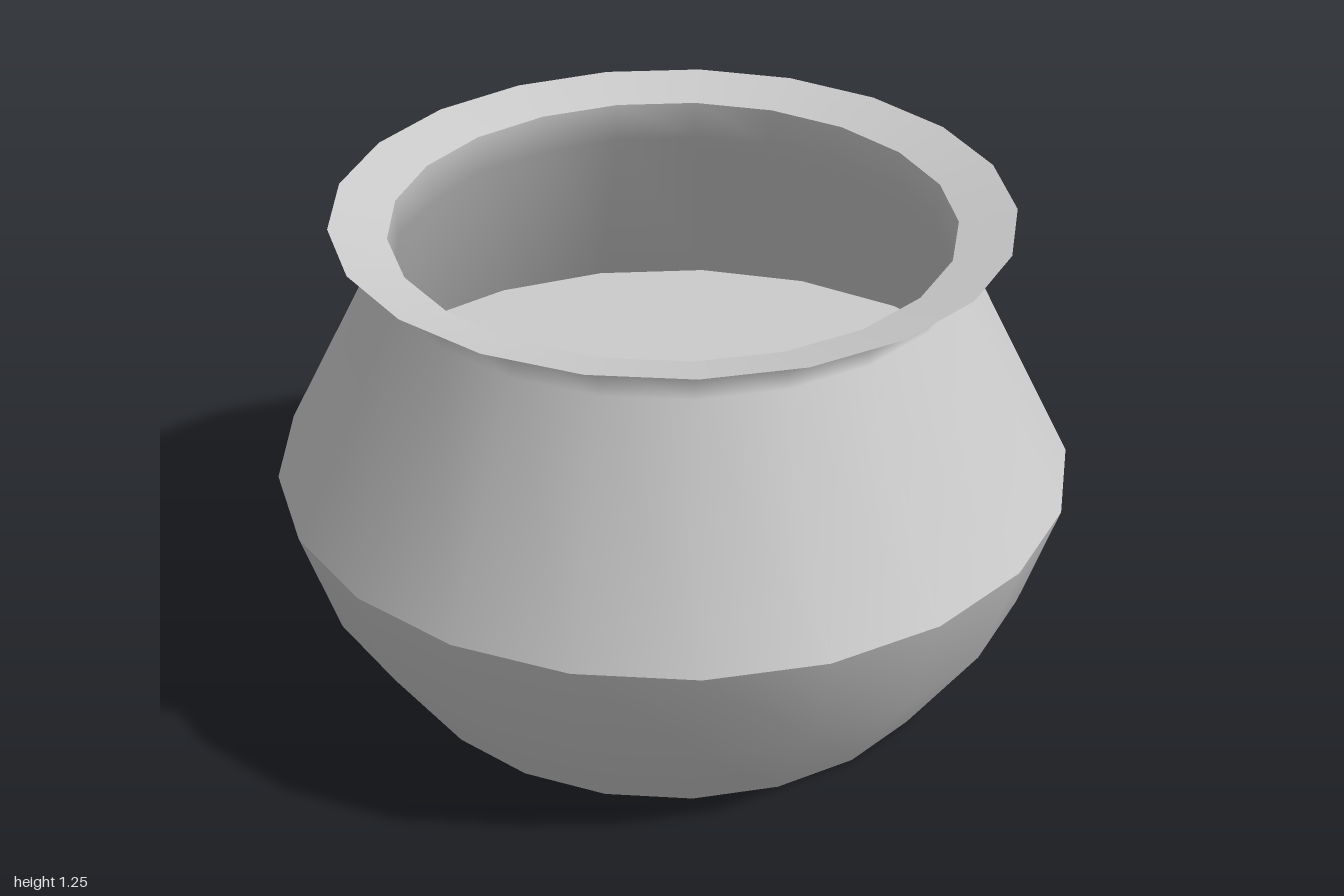
import * as THREE from 'three';

const SIDES = 21;

// Turned surface from a profile of [radius, height] points;
// upward profiles face outward, downward profiles face inward.
function turned(name, profile, material) {
  const points = profile.map(([r, y]) => new THREE.Vector2(r, y));
  const mesh = new THREE.Mesh(new THREE.LatheGeometry(points, SIDES, Math.PI / 2), material);
  mesh.name = name;
  return mesh;
}

export function createModel() {
  const group = new THREE.Group();
  group.name = 'pot';
  const material = new THREE.MeshStandardMaterial({ color: 0xcccccc });
  const belly = [1.005, 0.565];
  const lip = [0.838, 1.25];
  const mouth = [0.697, 1.215];

  // Outer shell: flat base, lower bowl, then shoulder, neck and flared lip
  group.add(turned('base', [[0, 0], [0.722, 0]], material));
  group.add(turned('lowerBowl', [[0.722, 0], [0.912, 0.28], belly], material));
  group.add(turned('shoulderAndNeck', [belly, [0.722, 1.13], [0.722, 1.205], lip], material));
  group.add(turned('lipTop', [lip, mouth], material));

  // Inner wall, its neck ring following a coarser eleven-sided outline
  const inner = turned('innerWall', [mouth, [0.705, 1.12], [0.98, 0.565]], material);
  const pos = inner.geometry.attributes.position;
  const step = (2 * Math.PI) / 11;
  for (let i = 0; i < pos.count; i++) {
    if (Math.abs(pos.getY(i) - 1.12) > 0.001) continue;
    const angle = Math.atan2(-pos.getZ(i), pos.getX(i)) + 0.07 + 2 * Math.PI;
    const k = Math.cos(step / 2) / Math.cos((angle % step) - step / 2);
    pos.setX(i, pos.getX(i) * k);
    pos.setZ(i, pos.getZ(i) * k);
  }
  group.add(inner);

  // Flat surface filling the inside at belly height
  group.add(turned('contents', [[0.98, 0.565], [0, 0.565]], material));

  // The odd number of sides puts the bounds slightly off centre
  group.children.forEach((mesh) => { mesh.position.x = -0.006; });
  return group;
}
